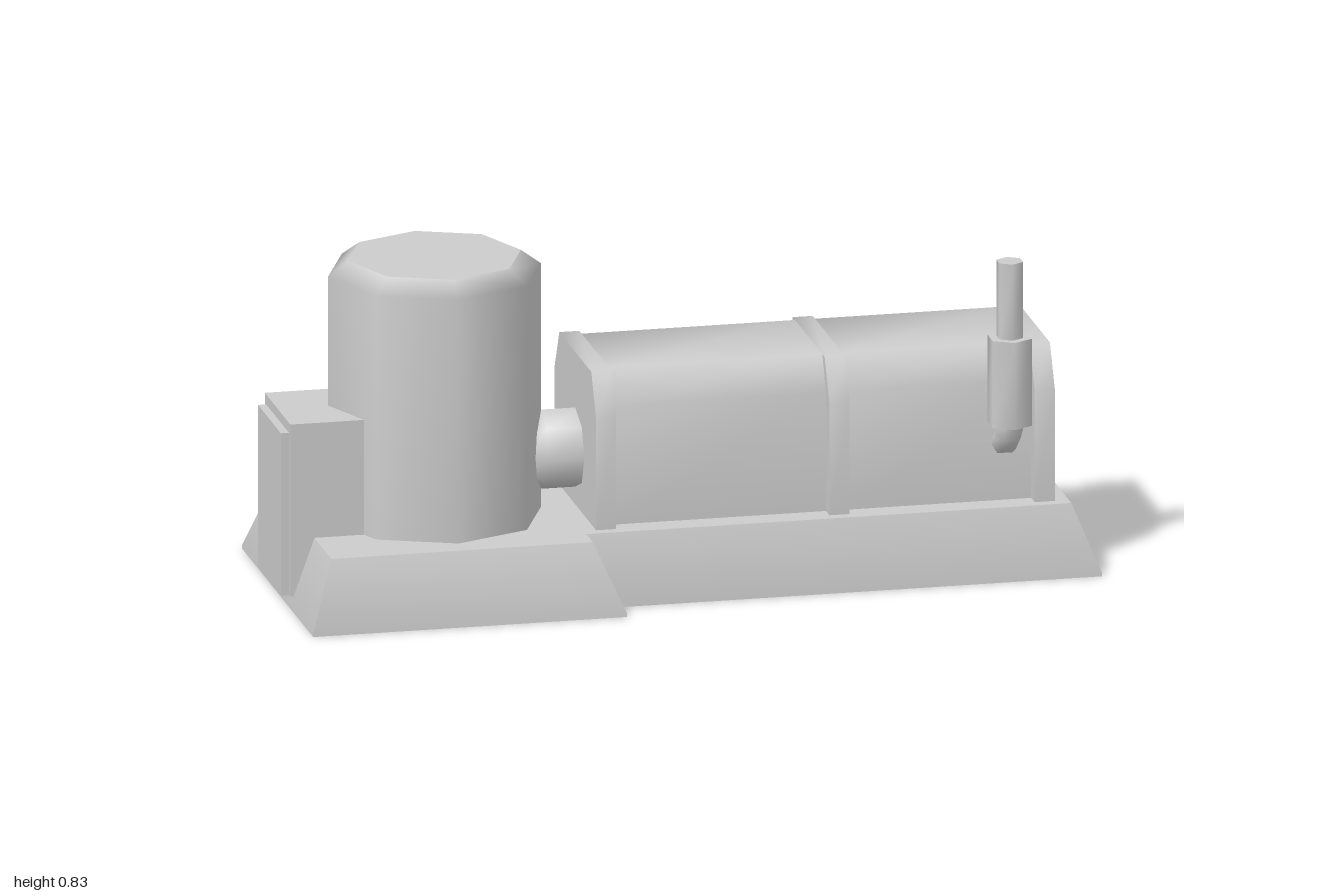
import * as THREE from 'three';
import { toCreasedNormals } from 'three/addons/utils/BufferGeometryUtils.js';

const grey = new THREE.MeshStandardMaterial({ color: 0xcccccc, side: THREE.DoubleSide });

function part(group, name, geometry, x = 0, y = 0, z = 0) {
  const mesh = new THREE.Mesh(geometry, grey);
  mesh.name = name;
  mesh.position.set(x, y, z);
  group.add(mesh);
  return mesh;
}

// Skin a series of rings of [x, y, z] points, each ring closed or open
function loft(rings, closed, crease) {
  const pos = [];
  const n = rings[0].length;
  for (let j = 0; j < rings.length - 1; j++) {
    for (let i = 0; i < (closed ? n : n - 1); i++) {
      const k = (i + 1) % n;
      const a = rings[j][i], b = rings[j + 1][i], c = rings[j + 1][k], d = rings[j][k];
      pos.push(...a, ...b, ...c, ...a, ...c, ...d);
    }
  }
  const geo = new THREE.BufferGeometry();
  geo.setAttribute('position', new THREE.Float32BufferAttribute(pos, 3));
  geo.computeVertexNormals();
  return toCreasedNormals(geo, crease);
}

const lathe = (points, sides) =>
  new THREE.LatheGeometry(points.map(([r, y]) => new THREE.Vector2(r, y)), sides);

const TOP = 0.175; // height of the plinth
const TOWER = { x: -0.59, r: 0.265 };

// Stepped outline: a wide end under the tower, a narrow run under the hood
function outline(x0, x1, x2, wide, narrow) {
  return [[x2, narrow], [x1, narrow], [x1, wide], [x0, wide],
    [x0, -wide], [x1, -wide], [x1, -narrow], [x2, -narrow]];
}

function addPlinth(group) {
  const low = outline(-0.98, -0.2, 1, 0.39, 0.305);
  const high = outline(-0.92, -0.27, 0.935, 0.325, 0.255);
  const ring = (pts, y) => pts.map(([x, z]) => [x, y, z]);
  part(group, 'plinthSkirt', loft([ring(low, 0), ring(low, 0.008), ring(high, TOP)], true, 0.9));

  // Deck is open beneath the tower and the hood
  const vectors = pts => pts.map(([x, z]) => new THREE.Vector2(x, z));
  const deck = new THREE.Shape(vectors(high));
  const octagon = [];
  for (let i = 0; i < 8; i++) {
    const a = i * Math.PI / 4;
    octagon.push([TOWER.x + TOWER.r * Math.cos(a), TOWER.r * Math.sin(a)]);
  }
  deck.holes.push(new THREE.Path(vectors(octagon)));
  deck.holes.push(new THREE.Path(vectors([[-0.23, -0.19], [0.89, -0.19], [0.89, 0.19], [-0.23, 0.19]])));
  part(group, 'plinthDeck', new THREE.ShapeGeometry(deck).rotateX(-Math.PI / 2), 0, TOP, 0);
}

function addTower(group) {
  const { x, r } = TOWER;
  part(group, 'towerWall', lathe([[r, TOP], [r, 0.79], [0.215, 0.827]], 8), x);
  part(group, 'towerLid',
    new THREE.CircleGeometry(0.215, 8).rotateX(-Math.PI / 2), x, 0.827, 0);

  // Cabinet on the end of the tower, with its cover plate
  part(group, 'endCabinet', new THREE.BoxGeometry(0.23, 0.435, 0.28), -0.865, 0.2475, 0);
  part(group, 'cabinetPlate', new THREE.BoxGeometry(0.03, 0.41, 0.25), -0.985, 0.235, 0);

  // Stub duct joining tower and hood
  const duct = lathe([[0, 0], [0.06, 0], [0.1, 0.045], [0.1, 0.15]], 8).rotateZ(-Math.PI / 2);
  part(group, 'connectingDuct', duct, -0.37, 0.32, 0);
}

function addHood(group) {
  // Cross-section running from the front foot over the roof to the back foot
  const section = (x, w, shoulder, t) => [[x, TOP, w], [x, shoulder, w], [x, 0.56, t],
    [x, 0.56, -t], [x, shoulder, -w], [x, TOP, -w]];
  const rib = x => section(x, 0.228, 0.457, 0.175);
  const panel = x => section(x, 0.19, 0.475, 0.15);
  const cap = x => Array.from({ length: 6 }, () => [x, TOP, 0]);

  const rings = [cap(-0.24)];
  [-0.24, 0.34, 0.85].forEach((x, i) => {
    if (i > 0) rings.push(panel(x));
    rings.push(rib(x), rib(x + 0.05));
    if (i < 2) rings.push(panel(x + 0.05));
  });
  rings.push(cap(0.9));
  part(group, 'ribbedHood', loft(rings, false, 1.15));
}

function addExhaust(group) {
  const exhaust = new THREE.Group();
  exhaust.name = 'exhaust';
  exhaust.position.set(0.782, 0, 0.255);
  group.add(exhaust);
  const tube = (name, r, y0, y1) => part(exhaust, name,
    toCreasedNormals(new THREE.CylinderGeometry(r, r, y1 - y0, 6), 1.2), 0, (y0 + y1) / 2, 0);
  tube('exhaustPipe', 0.034, 0.6, 0.797);
  tube('silencer', 0.056, 0.385, 0.605);

  // Elbow turning into the side of the hood
  const bend = new THREE.QuadraticBezierCurve3(new THREE.Vector3(0, 0.39, 0),
    new THREE.Vector3(0, 0.335, -0.005), new THREE.Vector3(0, 0.32, -0.08));
  part(exhaust, 'exhaustElbow', new THREE.TubeGeometry(bend, 4, 0.034, 6));
}

export function createModel() {
  const model = new THREE.Group();
  model.name = 'generatorUnit';
  addPlinth(model);
  addTower(model);
  addHood(model);
  addExhaust(model);
  return model;
}
